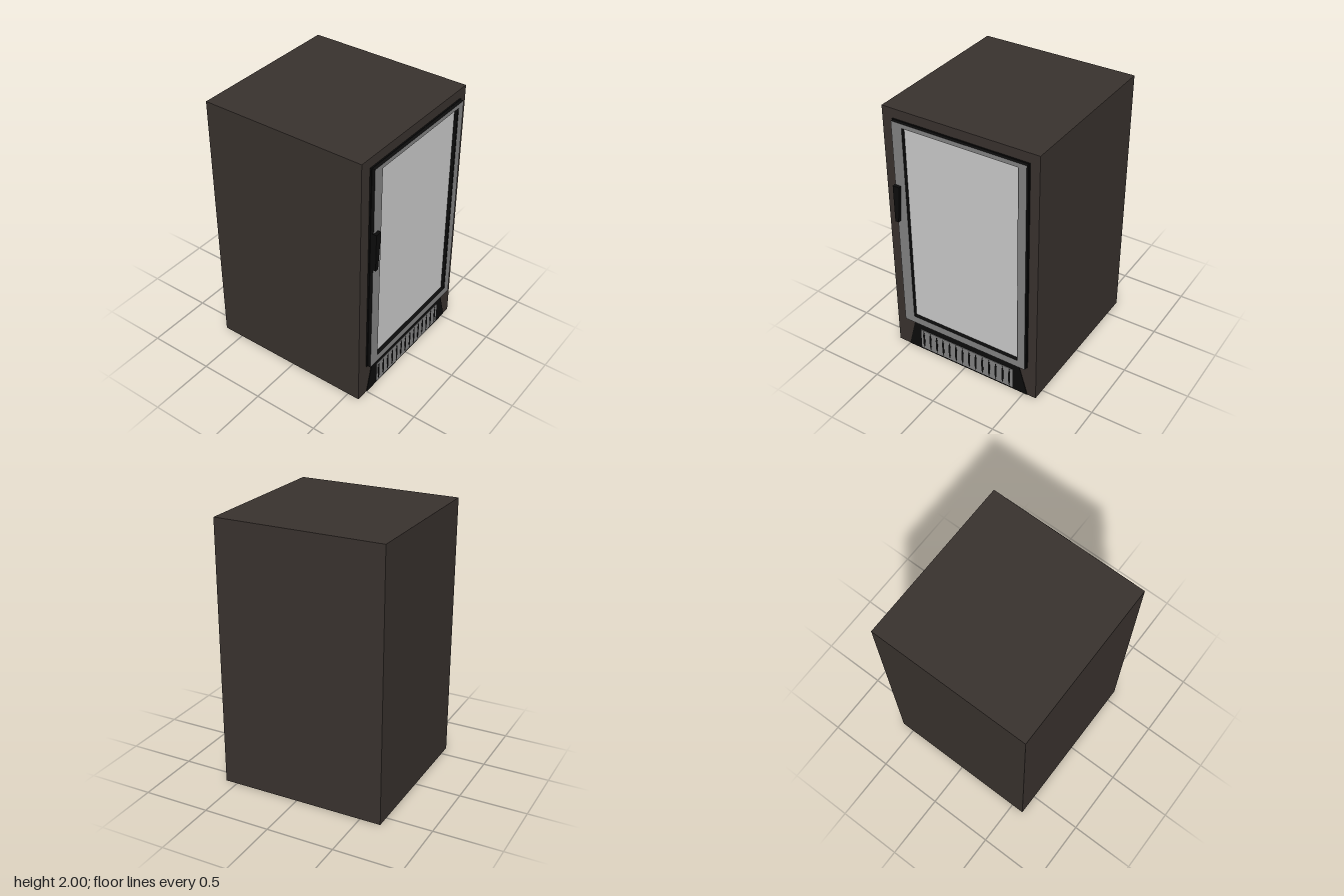
import * as THREE from 'three';

const mat = (color) => new THREE.MeshStandardMaterial({ color, side: THREE.DoubleSide });
const brown = mat(0x39322e), black = mat(0x0c0c0c), frameGrey = mat(0x838383);
const linerGrey = mat(0x888888), glassGrey = mat(0xcccccc);

// Box between two corners, optionally without its underside
function block(name, material, [x0, y0, z0], [x1, y1, z1], openBottom = false) {
  const g = new THREE.BoxGeometry(x1 - x0, y1 - y0, z1 - z0);
  if (openBottom) {
    const idx = Array.from(g.index.array);
    idx.splice(18, 6);
    g.setIndex(idx);
    g.clearGroups();
  }
  g.translate((x0 + x1) / 2, (y0 + y1) / 2, (z0 + z1) / 2);
  const m = new THREE.Mesh(g, material);
  m.name = name;
  return m;
}

// Shape from [z, y] points; horizontal shape axis is -z
const outline = (pts) => new THREE.Shape(pts.map(([z, y]) => new THREE.Vector2(-z, y)));
const rect = (z0, z1, y0, y1) => outline([[z0, y0], [z1, y0], [z1, y1], [z0, y1]]);

// Extrude a side profile along x from x0 to x1
function panel(name, materials, shape, x0, x1) {
  const g = new THREE.ExtrudeGeometry(shape, { depth: x1 - x0, bevelEnabled: false, curveSegments: 6 });
  g.rotateY(Math.PI / 2);
  g.translate(x0, 0, 0);
  const m = new THREE.Mesh(g, materials);
  m.name = name;
  return m;
}

export function createModel() {
  const model = new THREE.Group();
  model.name = 'displayFridge';

  // Cabinet shell, open underneath
  const X0 = -0.655, X1 = 0.592, Z0 = -0.598, Z1 = 0.597, T = 0.05, DEPTH = 0.36;
  model.add(block('cabinet', brown, [X0, 0, Z0], [X1, 2, Z1], true));
  model.add(block('baseCavity', linerGrey, [X0 + T, 0, Z0 + T], [X1 - T, DEPTH, Z1 - T], true));

  // Flat rim around the underside opening
  const rimShape = new THREE.Shape();
  rimShape.moveTo(X0, Z0).lineTo(X1, Z0).lineTo(X1, Z1).lineTo(X0, Z1);
  const hole = new THREE.Path();
  hole.moveTo(X0 + T, Z0 + T).lineTo(X0 + T, Z1 - T).lineTo(X1 - T, Z1 - T).lineTo(X1 - T, Z0 + T);
  rimShape.holes.push(hole);
  const rimGeometry = new THREE.ShapeGeometry(rimShape);
  rimGeometry.rotateX(Math.PI / 2);
  const rim = new THREE.Mesh(rimGeometry, brown);
  rim.name = 'baseRim';
  model.add(rim);

  // Door: dark gasket, grey-faced frame with black edges, recessed glass
  const door = new THREE.Group();
  door.name = 'door';
  const opening = () => rect(0.42, -0.465, 0.32, 1.895);
  const gasket = rect(0.512, -0.53, 0.26, 1.93);
  gasket.holes.push(opening());
  const frame = rect(0.503, -0.523, 0.262, 1.927);
  frame.holes.push(opening());
  door.add(panel('doorGasket', black, gasket, X1, 0.602));
  door.add(panel('doorFrame', [frameGrey, black], frame, 0.602, 0.625));
  door.add(block('doorGlass', glassGrey, [X1, 0.32, -0.46], [0.597, 1.895, 0.42]));
  door.add(block('hingeSideSeal', black, [X1, 0.32, -0.469], [0.622, 1.895, -0.46]));

  // Tapered handle
  const grip = outline([[0.508, 1.15], [0.48, 1.15], [0.456, 1.44], [0.508, 1.44]]);
  door.add(panel('doorHandle', black, grip, 0.615, 0.65));
  model.add(door);

  // Kick panel with vent grille
  const kick = outline([[0.5, 0.002], [-0.53, 0.002], [-0.455, 0.26], [0.435, 0.26]]);
  model.add(panel('kickPanel', black, kick, X1, 0.597));
  const grille = new THREE.Group();
  grille.name = 'ventGrille';
  grille.add(panel('grillePlate', frameGrey, rect(0.385, -0.41, 0.018, 0.187), 0.596, 0.601));
  for (let i = 0; i < 14; i++) {
    const z = 0.361 - i * 0.0573;
    const slot = outline([
      [z, 0.025], [z - 0.008, 0.06], [z - 0.008, 0.14],
      [z, 0.18], [z + 0.008, 0.14], [z + 0.008, 0.06],
    ]);
    grille.add(panel('ventSlot', black, slot, 0.6, 0.603));
  }
  model.add(grille);

  return model;
}
